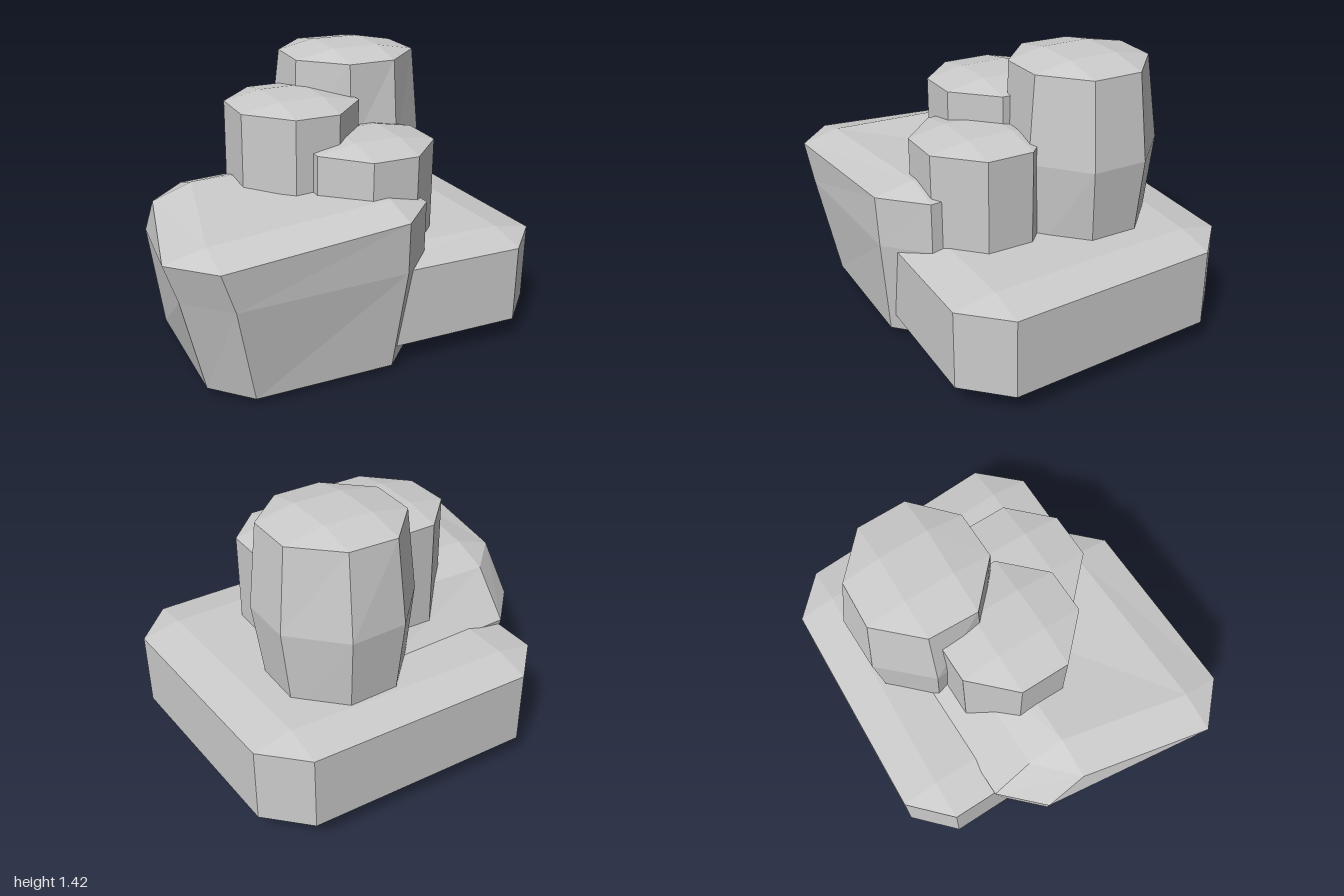
import * as THREE from 'three';

const material = new THREE.MeshStandardMaterial({ color: 0xcccccc, flatShading: true });

// Ring of eight [x, y, z] points: front left, front right, back right, back left, two per corner.
// y is one height or a height per corner.
function ring(y, points) {
  return points.map(([x, z], i) => [x, Array.isArray(y) ? y[i >> 1] : y, z]);
}

// Rectangle with its corners cut off by c
function cutBox(y, x0, x1, z0, z1, c) {
  return ring(y, [
    [x0, z1 - c], [x0 + c, z1], [x1 - c, z1], [x1, z1 - c],
    [x1, z0 + c], [x1 - c, z0], [x0 + c, z0], [x0, z0 + c],
  ]);
}

// Skin stacked rings and close both ends with a shallow four-cornered dome
function rock(name, rings, topY, bottomY) {
  const pos = [];
  const tri = (...p) => p.forEach((v) => pos.push(...v));
  const quad = (a, b, c, d) => { tri(a, b, c); tri(a, c, d); };

  for (let r = 0; r < rings.length - 1; r++) {
    const lo = rings[r], hi = rings[r + 1];
    for (let i = 0; i < 8; i++) {
      const j = (i + 1) % 8;
      quad(lo[i], lo[j], hi[j], hi[i]);
    }
  }

  const cap = (p, y, up) => {
    const inner = [0, 1, 2, 3].map((k) => {
      const a = p[2 * k], b = p[2 * k + 1];
      const h = Array.isArray(y) ? y[k] : y;
      return k % 2 ? [a[0], h, b[2]] : [b[0], h, a[2]];
    });
    const face = (...f) => {
      if (!up) f.reverse();
      f.length === 3 ? tri(...f) : quad(...f);
    };
    for (let k = 0; k < 4; k++) {
      const n = (k + 1) % 4;
      face(p[2 * k], p[2 * k + 1], inner[k]);
      face(p[2 * k + 1], p[2 * n], inner[n], inner[k]);
    }
    face(...inner);
  };
  cap(rings[rings.length - 1], topY, true);
  cap(rings[0], bottomY, false);

  const geometry = new THREE.BufferGeometry();
  geometry.setAttribute('position', new THREE.Float32BufferAttribute(pos, 3));
  geometry.computeVertexNormals();
  const mesh = new THREE.Mesh(geometry, material);
  mesh.name = name;
  return mesh;
}

export function createModel() {
  const group = new THREE.Group();
  group.name = 'rockCluster';

  // Low wide slab
  const slab = [
    [-0.65, 0.51], [-0.45, 0.71], [0.8, 0.72], [1, 0.51],
    [0.94, -0.59], [0.74, -0.79], [-0.45, -0.84], [-0.65, -0.65],
  ];
  group.add(rock('slabRock', [ring(0.13, slab), ring(0.53, slab)], 0.57, 0.11));

  // Flaring block with a sloping back and a tilted top
  group.add(rock('flaredRock', [
    cutBox(0.04, -0.8, 0.27, -0.34, 0.73, 0.18),
    ring(0.555, [
      [-0.93, 0.62], [-0.73, 0.81], [0.135, 0.78], [0.33, 0.59],
      [0.3, -0.22], [0.1, -0.42], [-0.66, -0.42], [-0.86, -0.22],
    ]),
    ring([0.76, 0.815, 0.82, 0.785], [
      [-1, 0.64], [-0.8, 0.83], [0.13, 0.79], [0.33, 0.59],
      [0.3, -0.03], [0.1, -0.22], [-0.66, -0.22], [-0.86, -0.03],
    ]),
  ], [0.81, 0.86, 0.86, 0.855], 0.005));

  // Tall bulging column
  group.add(rock('tallColumn', [
    cutBox(0.45, -0.04, 0.61, -0.58, 0.06, 0.2),
    ring(0.95, [
      [-0.06, -0.11], [0.17, 0.09], [0.42, 0.115], [0.665, -0.1],
      [0.665, -0.39], [0.43, -0.63], [0.14, -0.63], [-0.09, -0.39],
    ]),
    ring(1.39, [
      [-0.05, -0.12], [0.16, 0.08], [0.41, 0.08], [0.62, -0.11],
      [0.62, -0.37], [0.41, -0.57], [0.16, -0.585], [-0.04, -0.38],
    ]),
  ], 1.43, 0.42));

  // Two straight columns
  for (const [name, x0, x1, z0, z1, top] of [
    ['middleColumn', -0.44, 0.19, -0.33, 0.325, 1.22],
    ['frontColumn', -0.15, 0.49, -0.07, 0.57, 1.045],
  ]) {
    const rings = [0.4, top].map((y) => cutBox(y, x0, x1, z0, z1, 0.2));
    group.add(rock(name, rings, top + 0.037, 0.37));
  }

  return group;
}
